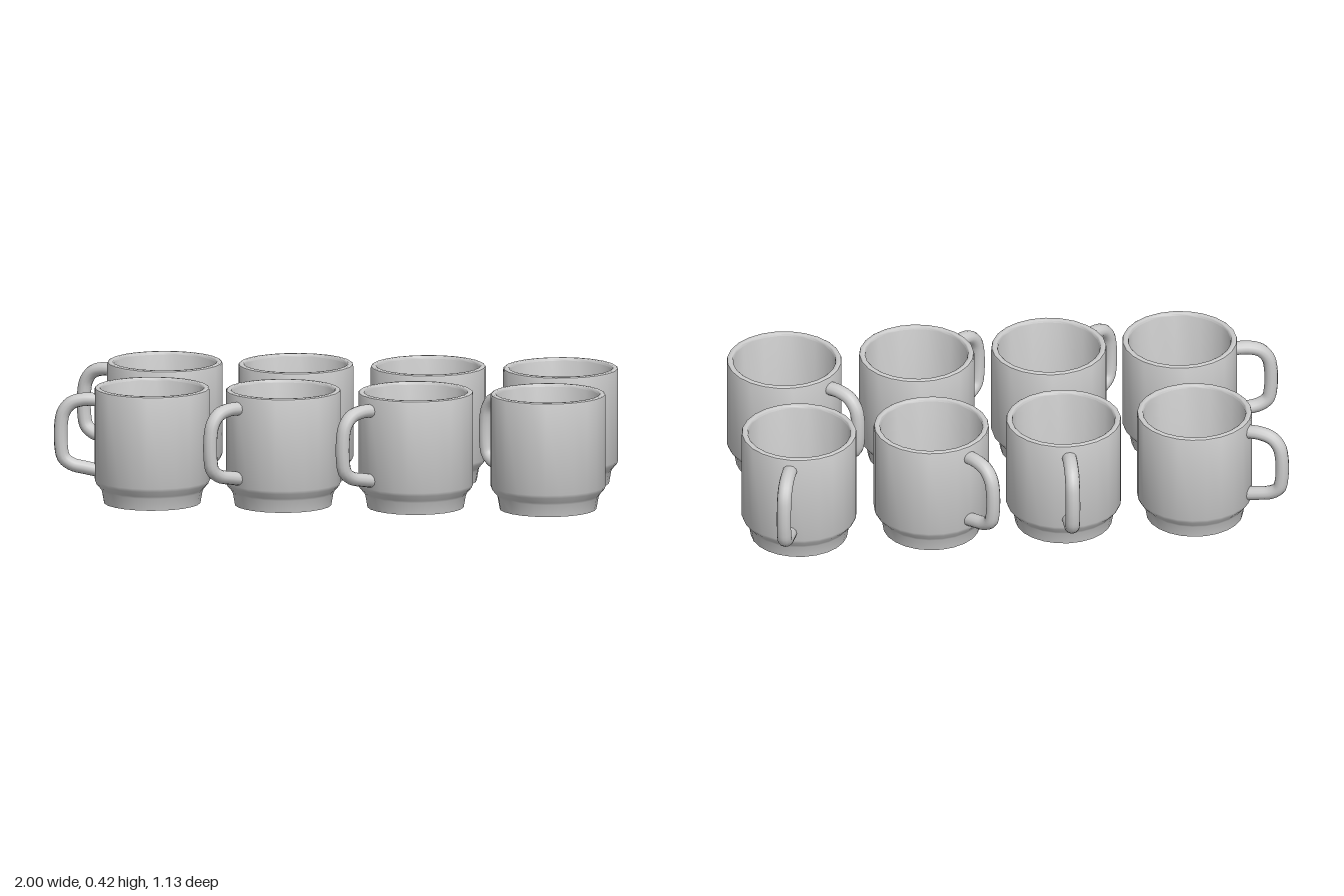
import * as THREE from 'three';
import { toCreasedNormals } from 'three/addons/utils/BufferGeometryUtils.js';

const vec2 = ([x, y]) => new THREE.Vector2(x, y);

// Cup wall: underside, stepped foot, body, rounded rim, inside wall and floor
function cupGeometry() {
  const profile = [
    [0, 0], [0.175, 0], [0.183, 0.045], [0.187, 0.053], [0.204, 0.073], [0.2085, 0.085],
    [0.2085, 0.413], [0.2065, 0.42], [0.202, 0.423], [0.191, 0.423], [0.187, 0.42], [0.185, 0.413],
    [0.182, 0.09], [0.176, 0.06], [0.163, 0.045], [0, 0.045],
  ].map(vec2);
  return toCreasedNormals(new THREE.LatheGeometry(profile, 24), 0.7);
}

// Handle: a rounded D reaching out along +x, its ends buried in the wall
function handleGeometry() {
  const path = [
    [0.197, 0.373], [0.25, 0.373], [0.293, 0.36], [0.32, 0.328], [0.33, 0.285],
    [0.33, 0.2], [0.32, 0.158], [0.29, 0.135], [0.24, 0.123], [0.197, 0.115],
  ].map(([x, y]) => new THREE.Vector3(x, y, 0));
  const geometry = new THREE.TubeGeometry(new THREE.CatmullRomCurve3(path), 36, 0.0245, 12);
  return geometry.scale(1, 1, 1.08);
}

export function createModel() {
  const group = new THREE.Group();
  group.name = 'mugSet';
  const material = new THREE.MeshStandardMaterial({ color: 0xcccccc });
  const cup = cupGeometry();
  const handle = handleGeometry();

  // Two rows of four mugs; each entry is the handle direction in x and z
  const columns = [-0.645, -0.17, 0.31, 0.79];
  const rows = [
    { z: -0.211, handles: [[-61, -26], [0, -1], [-37, -50], [17, -62]] },
    { z: 0.312, handles: [[-1, 0], [-46, 42], [-46, 42], [-46, -42]] },
  ];
  for (const row of rows) {
    row.handles.forEach(([dx, dz], i) => {
      const mug = new THREE.Group();
      mug.name = 'mug';
      const body = new THREE.Mesh(cup, material);
      body.name = 'cup';
      const grip = new THREE.Mesh(handle, material);
      grip.name = 'handle';
      mug.add(body, grip);
      mug.position.set(columns[i], 0, row.z);
      mug.rotation.y = Math.atan2(-dz, dx);
      group.add(mug);
    });
  }
  return group;
}
